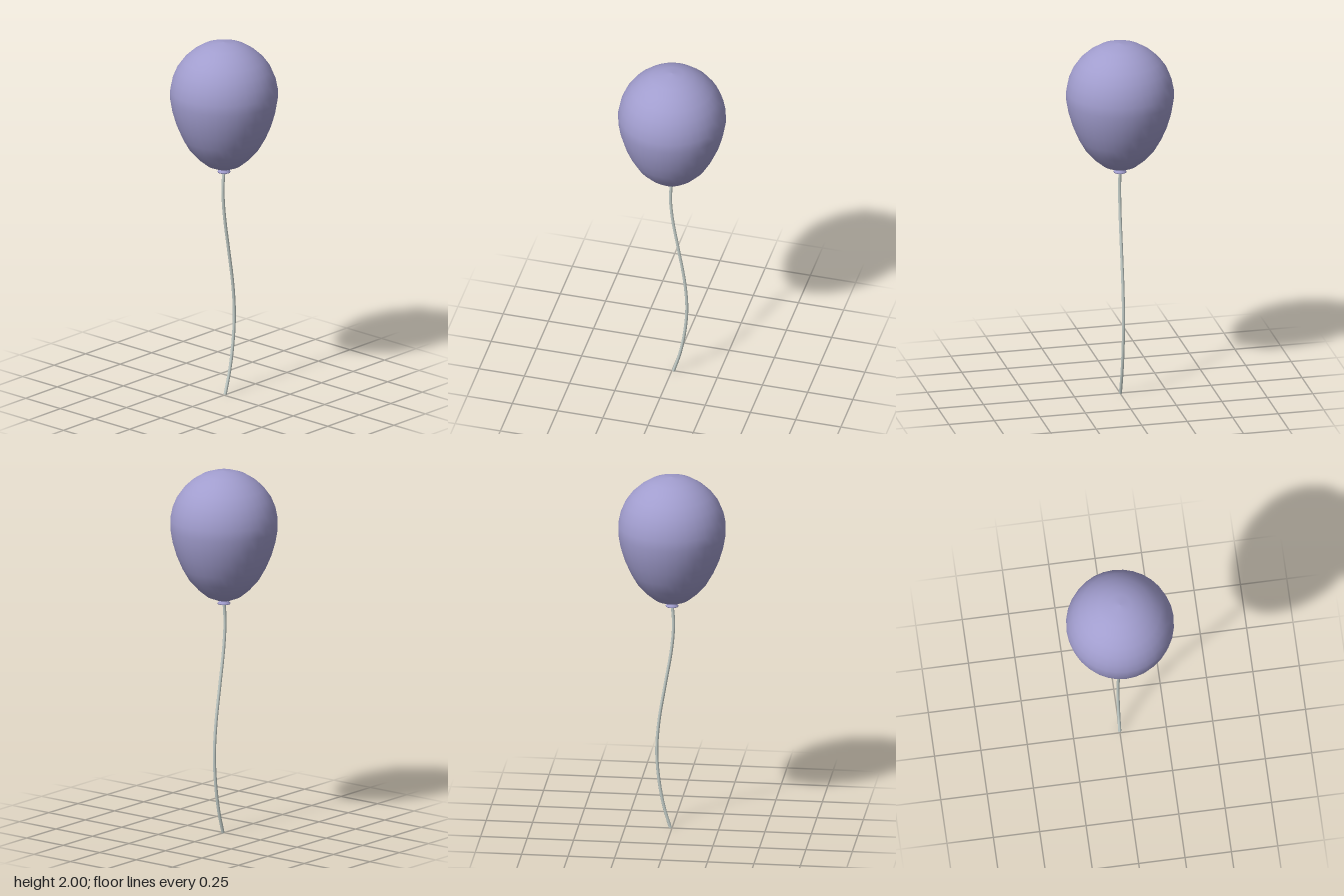
import * as THREE from 'three';

const points2 = (pairs) => pairs.map(([x, y]) => new THREE.Vector2(x, y));

export function createModel() {
  const model = new THREE.Group();
  model.name = 'balloon';

  const rubber = new THREE.MeshStandardMaterial({ color: 0xa19dce });
  rubber.name = 'lavender rubber';
  const cord = new THREE.MeshStandardMaterial({ color: 0xc6d0cb });
  cord.name = 'pale grey string';

  const add = (name, geometry, material) => {
    const mesh = new THREE.Mesh(geometry, material);
    mesh.name = name;
    model.add(mesh);
    return mesh;
  };

  // Envelope: round crown tapering to a narrow base (profile runs upward)
  const envelope = points2([
    [0, 1.284], [0.045, 1.289], [0.093, 1.309], [0.14, 1.348], [0.187, 1.4],
    [0.223, 1.463], [0.254, 1.535], [0.276, 1.61], [0.288, 1.68], [0.288, 1.732],
    [0.276, 1.792], [0.252, 1.85], [0.216, 1.9], [0.17, 1.942], [0.117, 1.975],
    [0.06, 1.994], [0, 2],
  ]);
  add('envelope', new THREE.LatheGeometry(envelope, 32), rubber);

  // Knot: pinched neck flaring to a small skirt
  const knot = points2([
    [0, 1.268], [0.034, 1.265], [0.034, 1.27], [0.024, 1.28], [0.019, 1.295],
  ]);
  add('knot', new THREE.LatheGeometry(knot, 16), rubber);

  // String: a slack S-curve in the x-y plane
  const path = new THREE.CatmullRomCurve3([
    [0.001, 1.28], [-0.006, 1.22], [-0.008, 1.14], [0.004, 1.01], [0.036, 0.82],
    [0.07, 0.61], [0.082, 0.44], [0.071, 0.28], [0.045, 0.13], [0.009, 0.004],
  ].map(([x, y]) => new THREE.Vector3(x, y, 0)));
  const radius = 0.0085;
  add('string', new THREE.TubeGeometry(path, 40, radius, 8), cord);

  // Flat cap closing the cut end of the string
  const cap = add('stringEnd', new THREE.CircleGeometry(radius, 8), cord);
  const end = path.getPoint(1);
  cap.position.copy(end);
  cap.lookAt(end.clone().add(path.getTangent(1)));

  return model;
}
